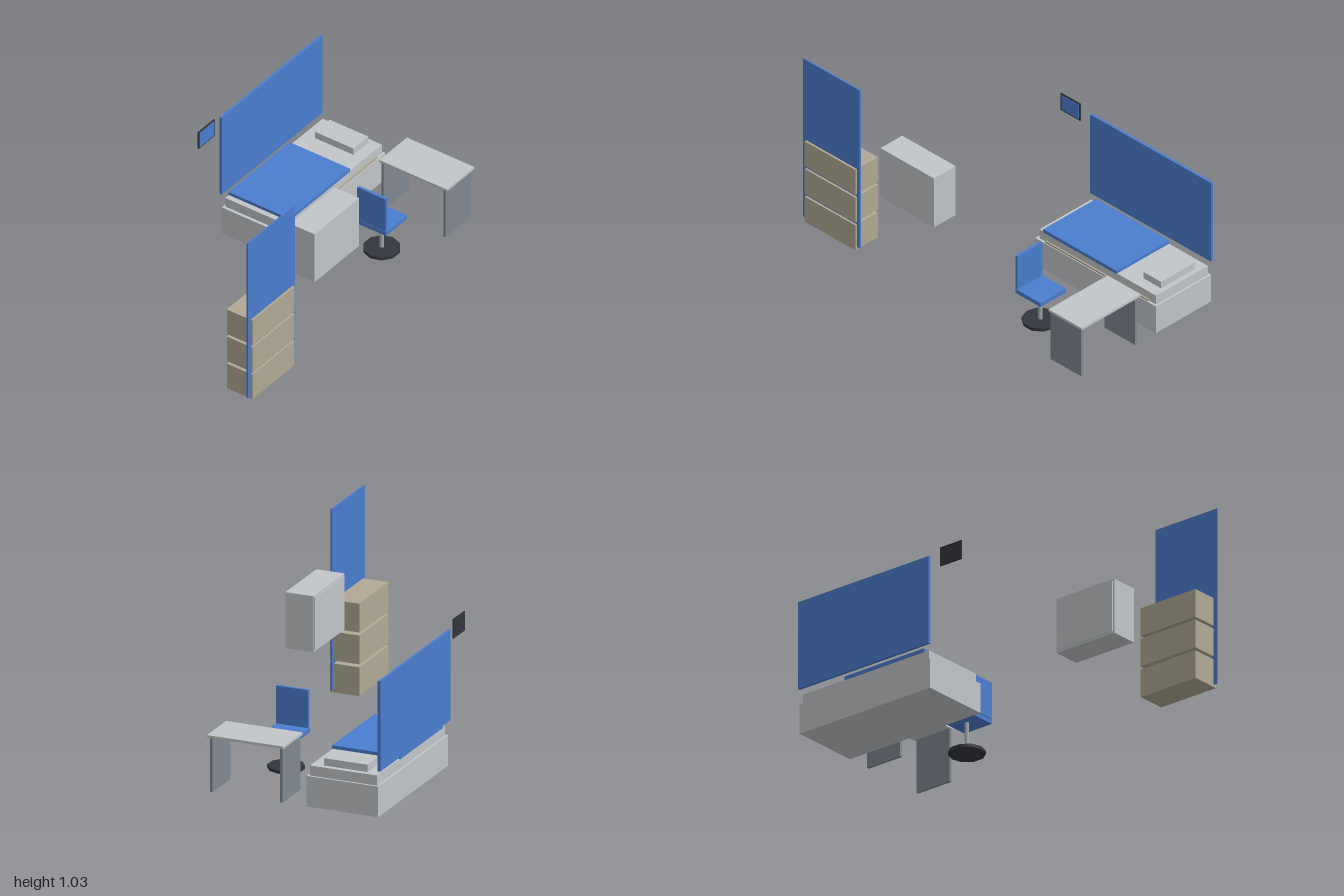
import * as THREE from 'three';

const mat = (name, color) => {
  const m = new THREE.MeshStandardMaterial({ color });
  m.name = name;
  return m;
};

export function createModel() {
  const model = new THREE.Group();
  model.name = 'bedroomFurniture';

  const grey = mat('lightGrey', 0xc2c6c9);
  const blue = mat('blue', 0x4b7dce);
  const tan = mat('tan', 0xb1a995);
  const slate = mat('slate', 0x808891);
  const dark = mat('darkGrey', 0x33363d);
  const steel = mat('steel', 0xa9adb1);

  const group = (name) => {
    const g = new THREE.Group();
    g.name = name;
    model.add(g);
    return g;
  };
  // Box given by its extents on each axis
  const box = (parent, name, material, [x0, x1], [y0, y1], [z0, z1]) => {
    const mesh = new THREE.Mesh(new THREE.BoxGeometry(x1 - x0, y1 - y0, z1 - z0), material);
    mesh.position.set((x0 + x1) / 2, (y0 + y1) / 2, (z0 + z1) / 2);
    mesh.name = name;
    parent.add(mesh);
  };
  const cylinder = (parent, name, material, r, [y0, y1], x, z, sides) => {
    const geo = new THREE.CylinderGeometry(r, r, y1 - y0, sides);
    const mesh = new THREE.Mesh(geo, material);
    mesh.position.set(x, (y0 + y1) / 2, z);
    mesh.name = name;
    parent.add(mesh);
  };

  // Bed with side rail, blanket and pillow
  const bed = group('bed');
  box(bed, 'bedBase', grey, [-0.491, -0.088], [0, 0.167], [-0.985, -0.11]);
  box(bed, 'mattress', grey, [-0.48, -0.102], [0.167, 0.222], [-0.973, -0.127]);
  box(bed, 'sideRail', tan, [-0.102, -0.093], [0.167, 0.177], [-0.923, -0.177]);
  box(bed, 'blanket', blue, [-0.483, -0.098], [0.22, 0.24], [-0.69, -0.158]);
  box(bed, 'pillow', grey, [-0.413, -0.167], [0.222, 0.262], [-0.944, -0.815]);

  // Panel on the wall beside the bed
  box(model, 'wallPanel', blue, [-0.504, -0.489], [0.25, 0.742], [-0.985, -0.108]);

  // Small wall screen
  const screen = group('wallScreen');
  box(screen, 'screenFrame', dark, [-0.491, -0.484], [0.67, 0.775], [-0.042, 0.1]);
  box(screen, 'screenFace', blue, [-0.484, -0.481], [0.678, 0.767], [-0.034, 0.092]);

  // Desk on two slab legs
  const desk = group('desk');
  box(desk, 'deskTop', grey, [0.038, 0.468], [0.299, 0.313], [-1, -0.759]);
  for (const x of [0.048, 0.443])
    box(desk, 'deskLeg', slate, [x, x + 0.015], [0, 0.299], [-0.985, -0.763]);

  // Swivel chair
  const chair = group('chair');
  cylinder(chair, 'chairBase', dark, 0.098, [0, 0.017], 0.253, -0.487, 10);
  cylinder(chair, 'chairPost', steel, 0.0115, [0.017, 0.179], 0.253, -0.487, 10);
  box(chair, 'seat', blue, [0.16, 0.346], [0.179, 0.203], [-0.58, -0.397]);
  box(chair, 'backrest', blue, [0.163, 0.344], [0.206, 0.412], [-0.412, -0.396]);

  // Wall cabinet with its door on the room side
  const cabinet = group('wallCabinet');
  box(cabinet, 'cabinetBody', grey, [0.339, 0.497], [0.447, 0.753], [0.042, 0.43]);
  box(cabinet, 'cabinetDoor', grey, [0.334, 0.339], [0.457, 0.743], [0.052, 0.42]);

  // Stack of drawers with the tall back panel
  const wardrobe = group('drawerStack');
  for (let i = 0; i < 3; i++) {
    const y = 0.026 + i * 0.1735;
    box(wardrobe, 'drawer', tan, [0.337, 0.501], [y, y + 0.157], [0.609, 0.976]);
  }
  box(wardrobe, 'tallPanel', blue, [0.481, 0.489], [0.042, 1.031], [0.589, 1]);

  return model;
}
